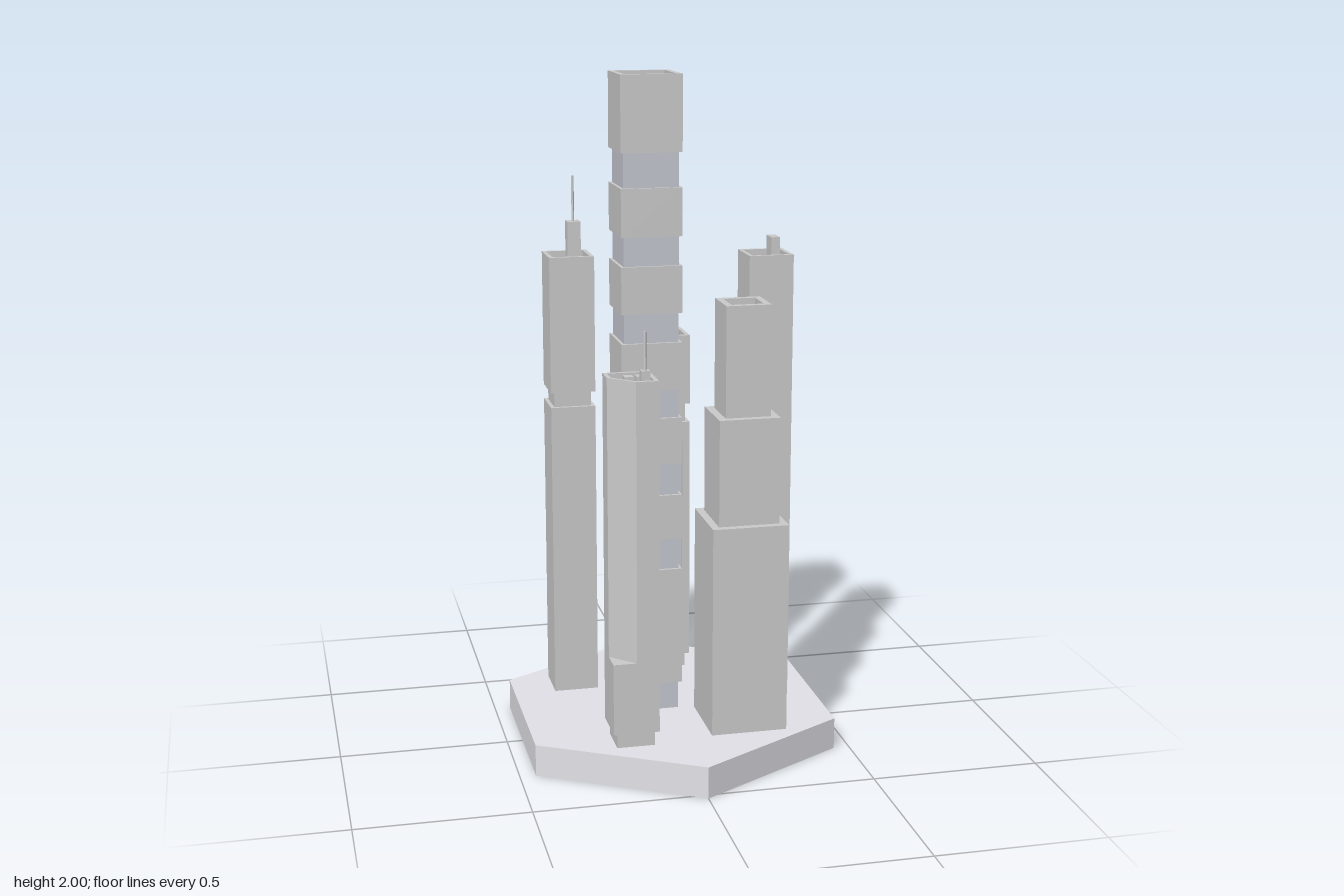
import * as THREE from 'three';

const GREY = new THREE.MeshStandardMaterial({ color: 0xcccccc, flatShading: true });
const GLASS = new THREE.MeshStandardMaterial({ color: 0xc6c8d2, flatShading: true });
const GROUND = new THREE.MeshStandardMaterial({ color: 0xe3e2e8, flatShading: true });
const BASE = 0.095; // top of the ground slab
const RIM = 0.012;  // parapet thickness

function add(parent, name, geometry, material = GREY) {
  const mesh = new THREE.Mesh(geometry, material);
  mesh.name = name;
  parent.add(mesh);
  return mesh;
}

// box centred on x, z, rising from y0 to y1
function block(parent, name, w, d, y0, y1, x = 0, z = 0, material = GREY) {
  const mesh = add(parent, name, new THREE.BoxGeometry(w, y1 - y0, d), material);
  mesh.position.set(x, (y0 + y1) / 2, z);
  return mesh;
}

// plan outlines are lists of [x, z]
const square = (w) => [[-w / 2, w / 2], [w / 2, w / 2], [w / 2, -w / 2], [-w / 2, -w / 2]];
const toShape = (plan) => new THREE.Shape(plan.map(([x, z]) => new THREE.Vector2(x, -z)));

function prism(parent, name, plan, y0, y1, material = GREY, hole = null) {
  const shape = toShape(plan);
  if (hole) shape.holes.push(toShape(hole));
  const geo = new THREE.ExtrudeGeometry(shape, { depth: y1 - y0, bevelEnabled: false });
  geo.rotateX(-Math.PI / 2);
  geo.translate(0, y0, 0);
  return add(parent, name, geo, material);
}

// solid storey whose roof is sunk behind a parapet
function roofed(parent, name, outer, inner, y0, y1, sink = 0.04, floor = GLASS) {
  prism(parent, name, outer, y0, y1, GREY, inner);
  prism(parent, name + 'RoofFloor', inner, y0, y1 - sink, floor);
}

function mast(parent, y0, y1, x, z) {
  const mesh = add(parent, 'antenna', new THREE.CylinderGeometry(0.004, 0.004, y1 - y0, 8));
  mesh.position.set(x, (y0 + y1) / 2, z);
}

function tower(parent, name, x, z) {
  const group = new THREE.Group();
  group.name = name;
  group.position.set(x, 0, z);
  parent.add(group);
  return group;
}

export function createModel() {
  const city = new THREE.Group();
  city.name = 'skyscraperCluster';

  // hexagonal ground slab with points to the front and back
  const hex = Array.from({ length: 6 }, (_, i) => {
    const a = Math.PI / 2 - (i * Math.PI) / 3;
    return [0.523 * Math.cos(a), 0.523 * Math.sin(a)];
  });
  prism(city, 'groundSlab', hex.reverse(), 0, BASE, GROUND);

  // central tower: glass shaft with wider stacked blocks
  const central = tower(city, 'centralTower', -0.065, -0.01);
  block(central, 'glassShaft', 0.162, 0.162, BASE, 1.79, 0, 0, GLASS);
  const bands = [[0.18, 0.54], [0.635, 0.77], [0.865, 1.005], [1.09, 1.23], [1.317, 1.455], [1.54, 1.68]];
  for (const [y0, y1] of bands) block(central, 'stackedBlock', 0.18, 0.18, y0, y1);
  roofed(central, 'crown', square(0.18), square(0.148), 1.78, 2, 0.05);
  for (const x of [-0.046, 0.045]) block(central, 'roofUnit', 0.035, 0.033, 1.95, 1.985, x, -0.045);

  // back left tower: two blocks with a neck and a mast
  const mastTower = tower(city, 'mastTower', -0.26, -0.206);
  block(mastTower, 'lowerBlock', 0.135, 0.135, BASE, 1);
  block(mastTower, 'neck', 0.112, 0.112, 0.99, 1.05);
  roofed(mastTower, 'upperBlock', square(0.135), square(0.111), 1.045, 1.455);
  block(mastTower, 'mastBase', 0.04, 0.04, 1.415, 1.55, 0.02, -0.02);
  mast(mastTower, 1.55, 1.685, 0.02, -0.02);

  // back tower: recessed window panel on each side
  const panelTower = tower(city, 'panelTower', 0.06, -0.323);
  block(panelTower, 'plinth', 0.111, 0.111, BASE, 0.15);
  block(panelTower, 'windowCore', 0.115, 0.115, 0.142, 0.903, 0, 0, GLASS);
  for (let i = 0; i < 4; i++) {
    const w = i % 2 ? 0.0575 : 0.0675; // alternate frames fit between the others
    const frame = new THREE.Shape([[-w, 0.14], [w, 0.14], [w, 0.905], [-w, 0.905]].map((p) => new THREE.Vector2(...p)));
    const opening = [[-0.044, 0.195], [-0.044, 0.85], [0.044, 0.85], [0.044, 0.195]];
    frame.holes.push(new THREE.Path(opening.map((p) => new THREE.Vector2(...p))));
    const geo = new THREE.ExtrudeGeometry(frame, { depth: 0.01, bevelEnabled: false });
    geo.translate(0, 0, 0.0575);
    add(panelTower, 'windowFrame', geo).rotation.y = (i * Math.PI) / 2;
  }
  block(panelTower, 'bodyTop', 0.116, 0.116, 0.89, 0.905);
  block(panelTower, 'bodyBottom', 0.116, 0.116, 0.14, 0.155);
  block(panelTower, 'neck', 0.111, 0.111, 0.9, 0.97);
  roofed(panelTower, 'upperBlock', square(0.135), square(0.111), 0.963, 1.18, 0.04, GREY);
  block(panelTower, 'roofUnit', 0.08, 0.08, 1.14, 1.165);

  // right tower: plain shaft with a recessed entrance in front
  const plain = tower(city, 'entranceTower', 0.317, -0.078);
  const h = 0.0675, e = 0.053, back = h - 0.012;
  const notched = [[-h, h], [-e, h], [-e, back], [e, back], [e, h], [h, h], [h, -h], [-h, -h]];
  prism(plain, 'groundFloor', notched, BASE, 0.23);
  block(plain, 'entrance', 2 * e, 0.002, BASE, 0.23, 0, back, GLASS);
  roofed(plain, 'shaft', square(2 * h), square(0.111), 0.23, 1.46);
  block(plain, 'roofUnit', 0.027, 0.054, 1.42, 1.505, 0.027, -0.014);

  // front tower: three steps
  const stepped = tower(city, 'steppedTower', 0.177, 0.193);
  block(stepped, 'lowerStep', 0.226, 0.226, BASE, 0.725);
  block(stepped, 'middleStep', 0.18, 0.18, 0.725, 1.04);
  roofed(stepped, 'upperStep', square(0.133), square(0.094), 1.04, 1.365, 0.04, GREY);

  // front left tower: one corner cut off above a full base
  const cut = tower(city, 'cutCornerTower', -0.17, 0.279);
  const r = h - RIM, c = 0.069, ci = c - RIM * 0.83;
  const outer = [[-h, h - c], [-h + c, h], [h, h], [h, -h], [-h, -h]];
  const inner = [[-r, r - ci], [-r + ci, r], [r, r], [r, -r], [-r, -r]];
  block(cut, 'plinth', 0.111, 0.111, BASE, 0.15);
  block(cut, 'lowerBlock', 2 * h, 2 * h, 0.14, 0.355);
  roofed(cut, 'shaft', outer, inner, 0.355, 1.18, 0.04, GREY);
  for (const x of [0, 0.034]) block(cut, 'roofUnit', 0.026, 0.028, 1.14, 1.175, x, -0.034);
  block(cut, 'mastBase', 0.025, 0.025, 1.14, 1.205, 0.034, 0.034);
  mast(cut, 1.205, 1.315, 0.034, 0.034);

  return city;
}
